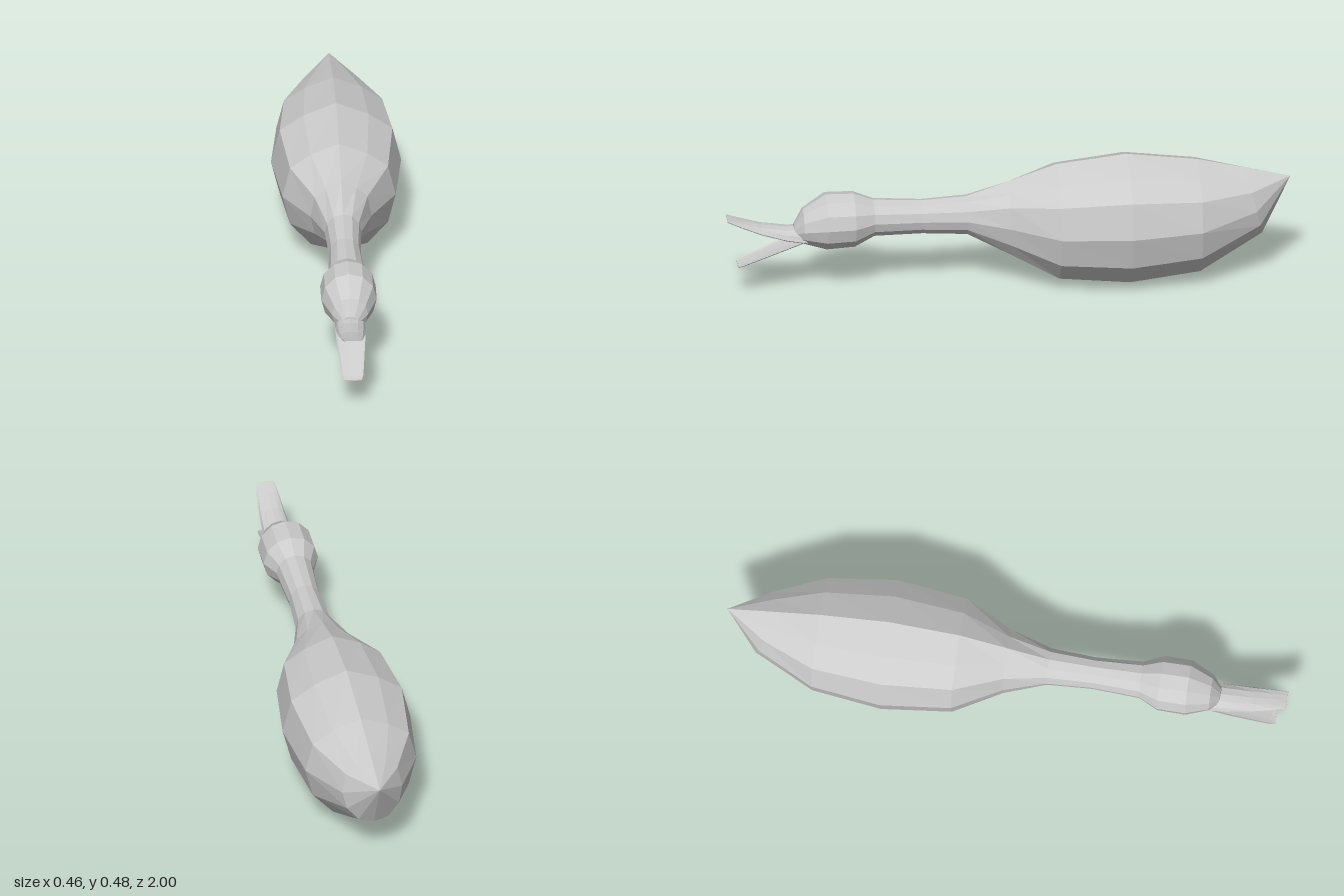
import * as THREE from 'three';

const V = (x, y, z) => new THREE.Vector3(x, y, z);
const material = new THREE.MeshStandardMaterial({ color: 0xcccccc, flatShading: true });

// Skin over closed rings ordered towards +z (counter-clockwise seen from +z), closed by a point at each end
function loft(name, rings, startPoint, endPoint) {
  const n = rings[0].length;
  const points = [...rings.flat(), startPoint, endPoint];
  const start = points.length - 2, end = points.length - 1;
  const last = (rings.length - 1) * n;
  const index = [];
  for (let j = 0; j < n; j++) {
    const k = (j + 1) % n;
    for (let i = 0; i < last; i += n) {
      index.push(i + j, i + k, i + n + k, i + j, i + n + k, i + n + j);
    }
    index.push(start, k, j, end, last + j, last + k);
  }
  const geometry = new THREE.BufferGeometry().setFromPoints(points);
  geometry.setIndex(index);
  geometry.computeVertexNormals();
  const mesh = new THREE.Mesh(geometry, material);
  mesh.name = name;
  return mesh;
}

// Twelve-sided section: widest at height mid, reaching up to top and down to bottom.
// The torso has a ridged back; neck and head are round.
function bodyRing([z, halfWidth, bottom, mid, top, slant = 0]) {
  const ring = [];
  const upper = z < 0.1 ? [0, 0.55, 0.8, 1] : [0, 0.5, 0.87, 1];
  const lower = [0, 0.5, 0.88, 1];
  for (let i = 0; i < 12; i++) {
    const a = (i / 12) * Math.PI * 2;
    const step = i % 6 <= 3 ? i % 6 : 6 - (i % 6);
    const h = i <= 6 ? upper[step] : -lower[step];
    const y = mid + h * (h > 0 ? top - mid : mid - bottom);
    ring.push(V(halfWidth * Math.cos(a), y, z + slant * h));
  }
  return ring;
}

// Thin curved bill section: outer arc over the top, inner arc back underneath
function billRing([z, halfWidth, rimY, crownY], thickness) {
  const outer = [], inner = [];
  for (let i = 0; i <= 6; i++) {
    const a = (i / 6) * Math.PI;
    const x = halfWidth * Math.cos(a), y = rimY + (crownY - rimY) * Math.sin(a);
    outer.push(V(x, y + thickness / 2, z));
    inner.unshift(V(x * 0.94, y - thickness / 2, z));
  }
  return [...outer, ...inner];
}

function bill(name, stations, thickness) {
  const rings = stations.map((s) => billRing(s, thickness));
  const ends = [stations[0], stations.at(-1)].map(([z, , rim, crown]) => V(0, rim + (crown - rim) * 0.8, z));
  return loft(name, rings, ends[0], ends[1]);
}

export function createModel() {
  const model = new THREE.Group();
  model.name = 'bird';

  // Tail, torso, neck and head: z, half width, bottom, widest height, top, slant
  const sections = [
    [-0.87, 0.108, 0.16, 0.28, 0.405, 0.028],
    [-0.67, 0.2, 0.03, 0.25, 0.447],
    [-0.42, 0.23, 0.003, 0.248, 0.48],
    [-0.17, 0.2, 0.026, 0.245, 0.453],
    [0, 0.108, 0.118, 0.255, 0.395],
    [0.15, 0.065, 0.203, 0.272, 0.344],
    [0.31, 0.056, 0.213, 0.274, 0.336],
    [0.48, 0.066, 0.213, 0.28, 0.347],
    [0.55, 0.098, 0.178, 0.276, 0.374],
    [0.65, 0.098, 0.172, 0.274, 0.376],
    [0.73, 0.064, 0.195, 0.258, 0.322],
    [0.762, 0.03, 0.212, 0.238, 0.266],
  ];
  model.add(loft('body', sections.map(bodyRing), V(0, 0.365, -1), V(0, 0.236, 0.766)));

  // Open bill: z, half width, rim height, crown height
  model.add(bill('upperBill', [
    [0.72, 0.054, 0.212, 0.256],
    [0.79, 0.052, 0.224, 0.256],
    [0.88, 0.046, 0.25, 0.268],
    [0.95, 0.04, 0.278, 0.286],
    [1, 0.033, 0.299, 0.301],
  ], 0.004));
  model.add(bill('lowerBill', [
    [0.72, 0.054, 0.219, 0.212],
    [0.8, 0.051, 0.187, 0.18],
    [0.88, 0.044, 0.154, 0.148],
    [0.945, 0.038, 0.127, 0.123],
    [0.962, 0.032, 0.12, 0.119],
  ], 0.004));

  return model;
}
